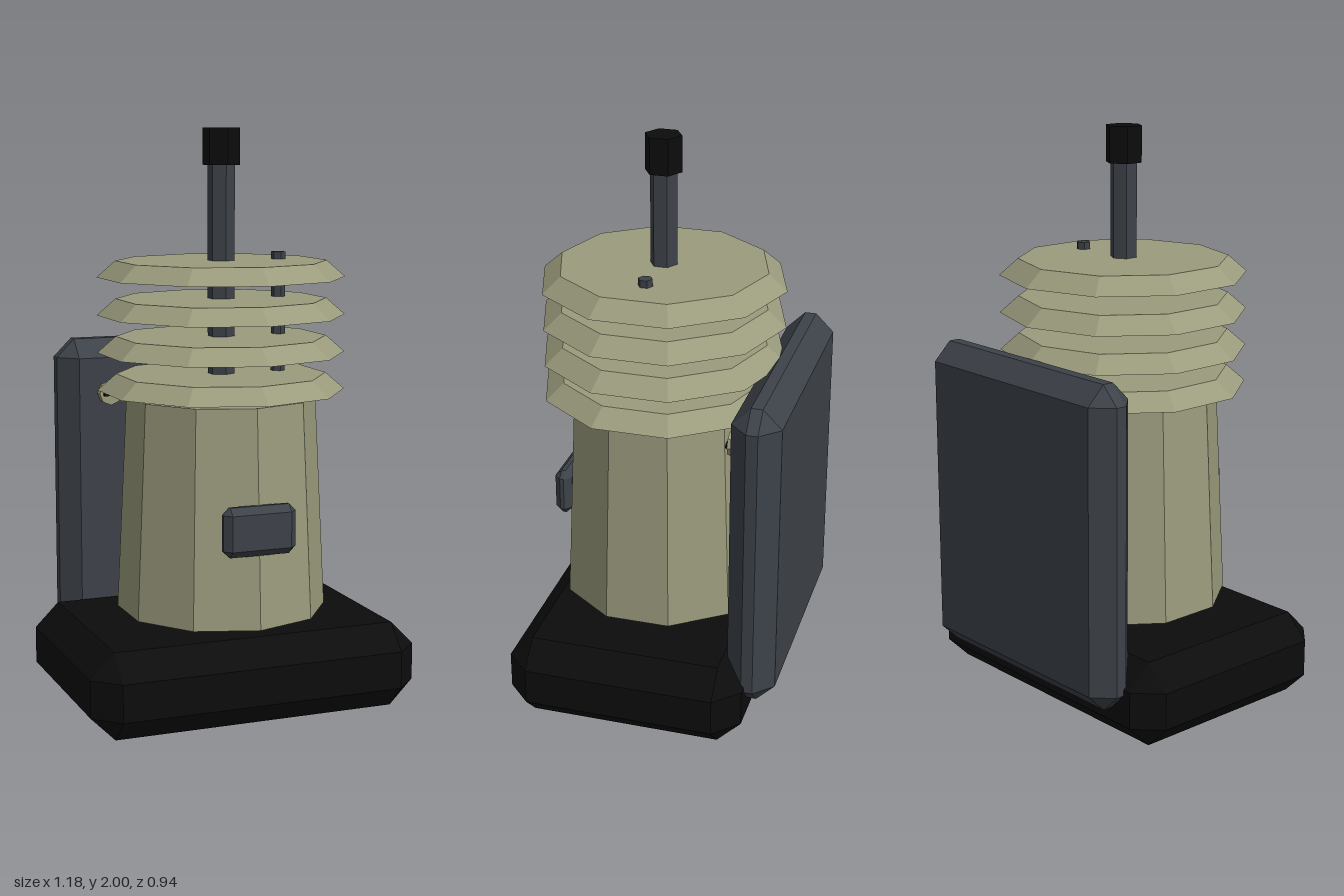
import * as THREE from 'three';
import { ConvexGeometry } from 'three/addons/geometries/ConvexGeometry.js';

function material(name, color) {
  const m = new THREE.MeshStandardMaterial({ color, flatShading: true });
  m.name = name;
  return m;
}

// Box with every edge cut by one flat bevel
function bevelBox(w, h, d, c) {
  const [x, y, z] = [w / 2, h / 2, d / 2];
  const points = [];
  for (const sx of [-1, 1]) for (const sy of [-1, 1]) for (const sz of [-1, 1]) {
    points.push(
      new THREE.Vector3(sx * x, sy * (y - c), sz * (z - c)),
      new THREE.Vector3(sx * (x - c), sy * y, sz * (z - c)),
      new THREE.Vector3(sx * (x - c), sy * (y - c), sz * z));
  }
  return new ConvexGeometry(points);
}

export function createModel() {
  const model = new THREE.Group();
  model.name = 'model';
  const olive = material('olive beige', 0x9b9b7d);
  const slate = material('slate grey', 0x3d4249);
  const black = material('black', 0x0c0c0c);
  const axisZ = 0.04;

  function add(name, geometry, mat, x, y, z) {
    const mesh = new THREE.Mesh(geometry, mat);
    mesh.name = name;
    mesh.position.set(x, y, z);
    model.add(mesh);
    return mesh;
  }
  // Upright faceted column between two heights
  const column = (name, rTop, rBottom, y0, y1, sides, mat, x = 0) =>
    add(name, new THREE.CylinderGeometry(rTop, rBottom, y1 - y0, sides), mat, x, (y0 + y1) / 2, axisZ);

  // Base, back panel and front plate
  add('base', bevelBox(1.18, 0.3, 0.84, 0.085), black, 0, 0.15, axisZ);
  add('backPanel', bevelBox(0.95, 1.12, 0.17, 0.065), slate, 0, 0.69, -0.39);
  add('frontPlate', bevelBox(0.26, 0.17, 0.062, 0.024), slate, 0, 0.671, 0.387);

  // Tapered body and the stack of floating fins
  column('body', 0.33, 0.367, 0.33, 1.08, 10, olive);
  for (let i = 0; i < 4; i++) {
    const y = 1.101 + i * 0.1305;
    column('fin', 0.365, 0.43, y, y + 0.057, 10, olive);
  }

  // Mast with cap, and thin aerial
  column('mast', 0.047, 0.047, 1.12, 1.88, 6, slate);
  column('mastCap', 0.064, 0.064, 1.875, 2, 6, black);
  column('aerial', 0.025, 0.025, 1.05, 1.575, 6, slate, 0.214);

  // Slotted bolts on the panel
  for (const side of [-1, 1]) {
    const bolt = add('bolt', new THREE.CylinderGeometry(0.042, 0.042, 0.04, 8), olive, side * 0.302, 1.058, -0.295);
    bolt.rotation.x = Math.PI / 2;
    add('boltSlot', new THREE.BoxGeometry(0.055, 0.016, 0.009), black, side * 0.302, 1.058, -0.271);
  }
  return model;
}
